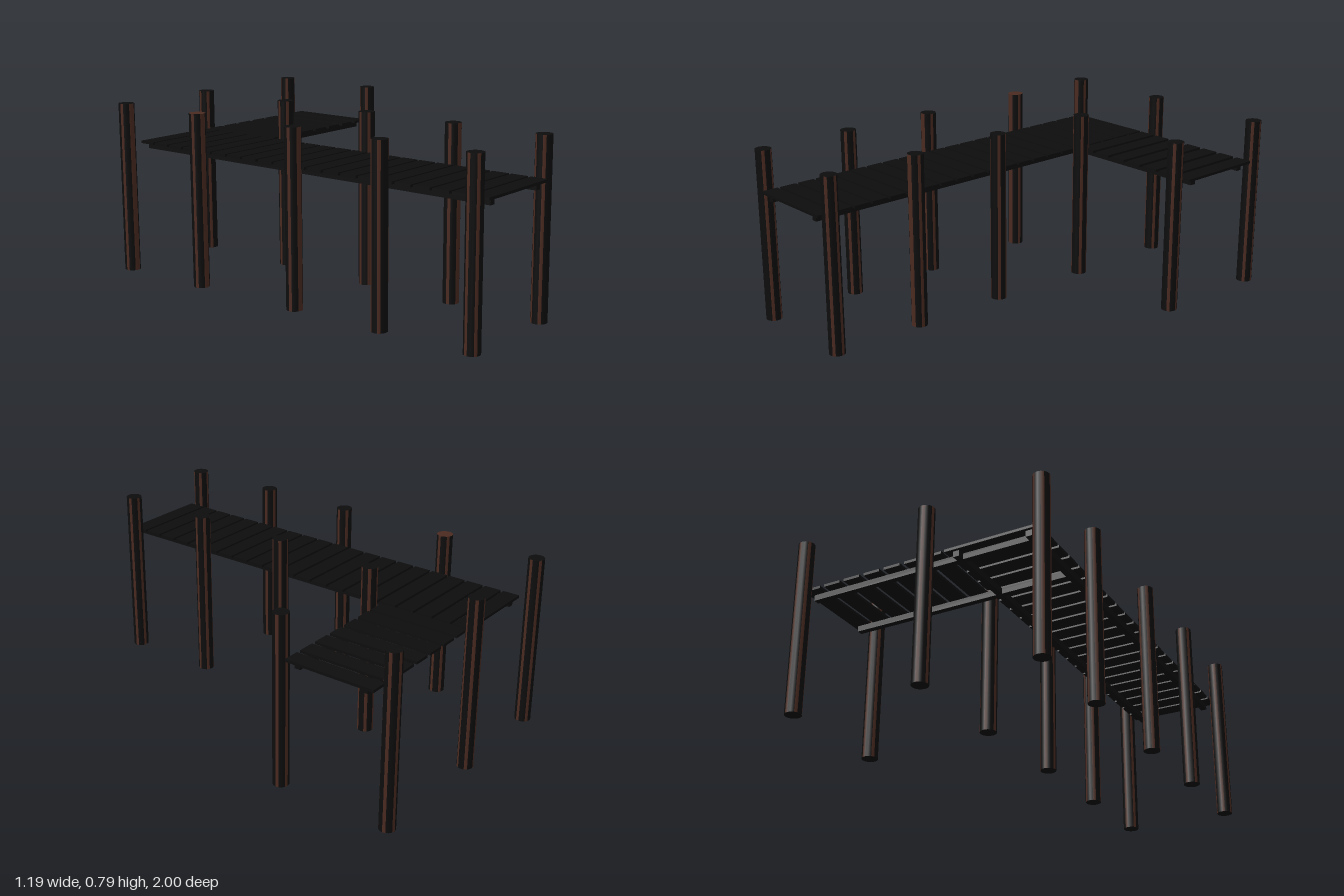
import * as THREE from 'three';

export function createModel() {
  const group = new THREE.Group();
  const darkWood = new THREE.MeshStandardMaterial({ color: 0x0d0d0d });
  darkWood.name = 'darkWood';
  const brownWood = new THREE.MeshStandardMaterial({ color: 0x4a2a20 });
  brownWood.name = 'brownWood';

  const PLANK_Y = 0.606, PLANK_T = 0.012, PLANK_W = 0.078;
  const BEAM_Y = 0.587, BEAM_H = 0.027, BEAM_W = 0.027;
  const POST_H = 0.787, POST_R = 0.036, SIDES = 16;

  function box(name, w, h, d, x, y, z) {
    const mesh = new THREE.Mesh(new THREE.BoxGeometry(w, h, d), darkWood);
    mesh.name = name;
    mesh.position.set(x, y, z);
    group.add(mesh);
  }

  // Main walkway planks, running front to back
  for (let i = 0; i < 21; i++) {
    box('walkwayPlank', 0.425, PLANK_T, PLANK_W, -0.308, PLANK_Y, -0.869 + i * 0.0915);
  }
  // Side platform planks
  for (let i = 0; i < 7; i++) {
    box('platformPlank', PLANK_W, PLANK_T, 0.422, -0.042 + i * 0.0998, PLANK_Y, -0.694);
  }

  // Support beams under both decks
  for (const x of [-0.474, -0.145]) {
    box('walkwayBeam', BEAM_W, BEAM_H, 1.88, x, BEAM_Y, 0.045);
  }
  for (const z of [-0.85, -0.53]) {
    box('platformBeam', 1.06, BEAM_H, BEAM_W, 0.045, BEAM_Y, z);
  }

  // Round posts with brown grain strips on some of their sides
  function post(x, z, offset, brownTop) {
    const geo = new THREE.CylinderGeometry(POST_R, POST_R, POST_H, SIDES);
    geo.clearGroups();
    for (let i = 0; i < SIDES; i++) {
      geo.addGroup(i * 6, 6, (i + offset) % 3 === 0 ? 1 : 0);
    }
    geo.addGroup(SIDES * 6, SIDES * 3, brownTop ? 1 : 0);
    geo.addGroup(SIDES * 9, SIDES * 3, 0);
    const mesh = new THREE.Mesh(geo, [darkWood, brownWood]);
    mesh.name = 'post';
    mesh.position.set(x, POST_H / 2, z);
    group.add(mesh);
  }
  const posts = [
    [-0.562, -0.955], [-0.042, -0.962], [0.556, -0.964],
    [-0.562, -0.495], [-0.044, -0.442], [0.553, -0.43],
    [-0.56, 0.06], [-0.065, 0.057],
    [-0.562, 0.515], [-0.065, 0.52],
    [-0.556, 0.959], [-0.064, 0.959],
  ];
  posts.forEach(([x, z], i) => post(x, z, i, i === 3));

  return group;
}
